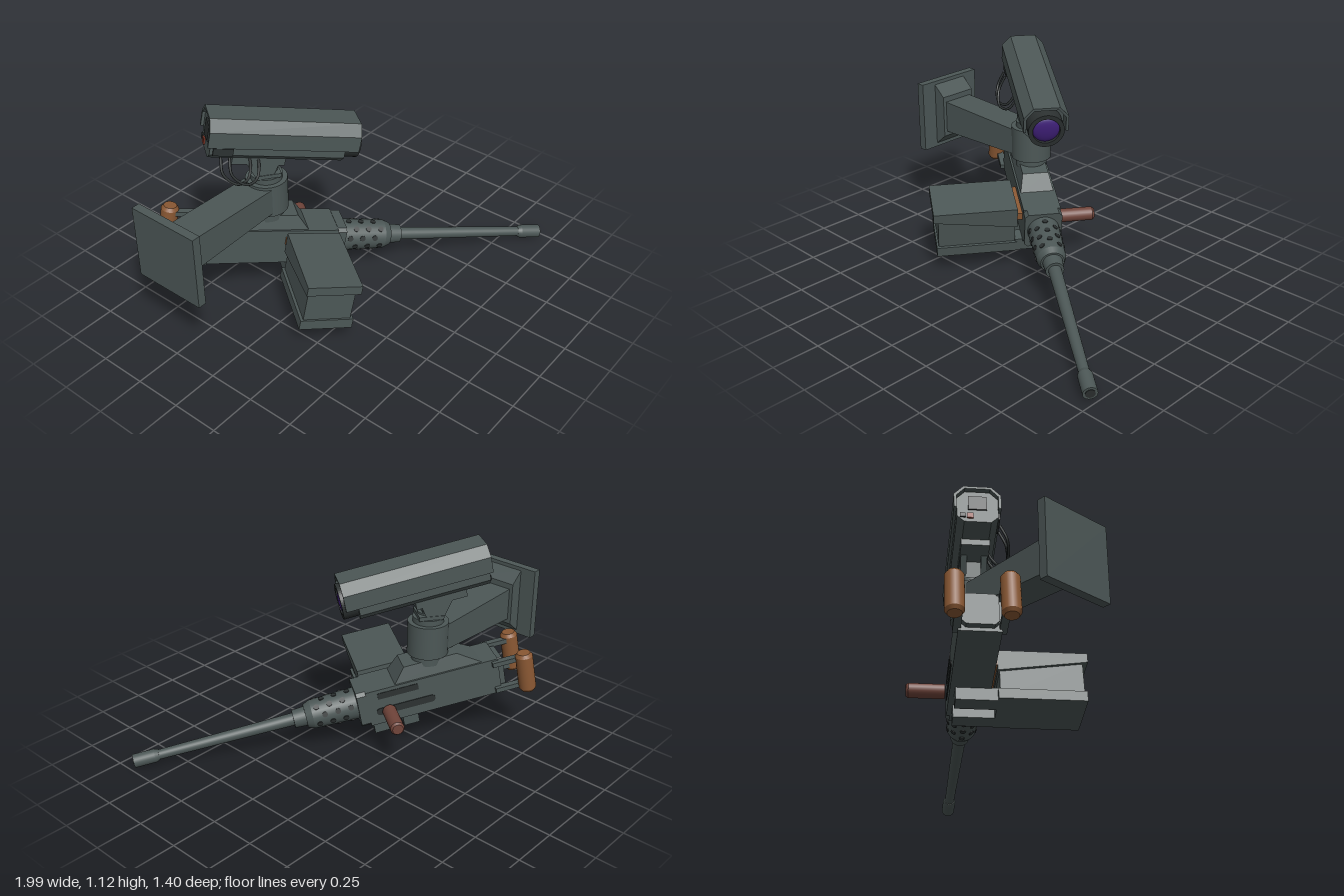
import * as THREE from 'three';

const mat = (name, color) => {
  const m = new THREE.MeshStandardMaterial({ color });
  m.name = name;
  return m;
};

export function createModel() {
  const metal = mat('grey green metal', 0x4c5756);
  const dark = mat('dark metal', 0x2c3131);
  const purple = mat('purple lens', 0x40207a);
  const wood = mat('brown grip', 0x8a5833);
  const rust = mat('red brown knob', 0x70443a);
  const red = mat('red socket', 0x8c3b2c);

  const add = (parent, name, geo, material, x = 0, y = 0, z = 0) => {
    const m = new THREE.Mesh(geo, material);
    m.name = name;
    m.position.set(x, y, z);
    parent.add(m);
    return m;
  };
  const group = (parent, name) => {
    const g = new THREE.Group();
    g.name = name;
    parent.add(g);
    return g;
  };
  // box given by its limits
  const box = (p, name, m, x0, x1, y0, y1, z0, z1) =>
    add(p, name, new THREE.BoxGeometry(x1 - x0, y1 - y0, z1 - z0), m, (x0 + x1) / 2, (y0 + y1) / 2, (z0 + z1) / 2);
  // cylinder along z from z0 (radius r0) to z1 (radius r1)
  const rod = (p, name, m, r0, r1, z0, z1, seg = 28) =>
    add(p, name, new THREE.CylinderGeometry(r1, r0, z1 - z0, seg).rotateX(Math.PI / 2), m, 0, 0, (z0 + z1) / 2);
  // outline in x, y extruded from z0 to z1
  const prism = (p, name, m, pts, z0, z1) =>
    add(p, name, new THREE.ExtrudeGeometry(new THREE.Shape(pts.map(q => new THREE.Vector2(...q))),
      { depth: z1 - z0, bevelEnabled: false }), m, 0, 0, z0);
  // box whose top is scaled and shifted
  const frustum = (w, h, d, kx, kz, shift = 0) => {
    const g = new THREE.BoxGeometry(w, h, d), a = g.attributes.position;
    for (let i = 0; i < a.count; i++) {
      if (a.getY(i) > 0) a.setXYZ(i, a.getX(i) * kx, a.getY(i), a.getZ(i) * kz + shift);
    }
    g.computeVertexNormals();
    return g;
  };
  const chamfered = (w, h, c) => [[-w + c, -h], [w - c, -h], [w, -h + c], [w, h - c],
    [w - c, h], [-w + c, h], [-w, h - c], [-w, -h + c]];

  const model = new THREE.Group();
  model.name = 'mountedGunAndCamera';
  const PX = -0.29, PZ = -0.25, HEADING = 0.942;

  // wall bracket
  const bracket = group(model, 'wallBracket');
  box(bracket, 'wallPlate', metal, -1, -0.955, 0.415, 0.815, -0.45, -0.05);
  add(bracket, 'bracketFoot', frustum(0.36, 0.07, 0.22, 0.66, 1).rotateZ(-Math.PI / 2), metal, -0.92, 0.615, PZ);
  add(bracket, 'arm', frustum(0.18, 0.585, 0.18, 0.78, 1).rotateZ(-Math.PI / 2), metal, -0.593, 0.612, PZ);

  // pivot column
  const column = group(model, 'pivotColumn');
  column.position.set(PX, 0, PZ);
  for (const [name, r, y0, y1] of [['lowerRing', 0.085, 0.47, 0.52], ['drum', 0.108, 0.52, 0.70],
    ['upperRing', 0.082, 0.70, 0.73], ['neck', 0.06, 0.73, 0.76]]) {
    add(column, name, new THREE.CylinderGeometry(r, r, y1 - y0, 32), metal, 0, (y0 + y1) / 2, 0);
  }

  // gun, local forward is +z
  const gun = group(model, 'gun');
  gun.position.set(PX, 0.32, PZ);
  gun.rotation.set(0.18, HEADING, 0, 'YXZ');
  box(gun, 'receiver', metal, -0.1, 0.1, -0.103, 0.1, -0.38, 0.34);
  prism(gun, 'receiverFront', metal, chamfered(0.1, 0.102, 0.018), 0.34, 0.39);
  prism(gun, 'backPlate', metal, chamfered(0.085, 0.085, 0.02), -0.41, -0.38);
  add(gun, 'topMount', frustum(0.18, 0.08, 0.48, 0.78, 0.6, 0.03), metal, 0, 0.138, -0.06);
  box(gun, 'ejectionPort', dark, 0.098, 0.103, 0.045, 0.08, 0.06, 0.28);
  const slot = new THREE.Shape();
  slot.absarc(0.12, 0, 0.02, -Math.PI / 2, Math.PI / 2, false);
  slot.absarc(-0.16, 0, 0.02, Math.PI / 2, Math.PI * 1.5, false);
  add(gun, 'handleSlot', new THREE.ExtrudeGeometry(slot, { depth: 0.005, bevelEnabled: false })
    .rotateY(Math.PI / 2), dark, 0.099, -0.03, 0.12);

  // charging handle
  const knob = add(gun, 'chargingHandle', new THREE.CylinderGeometry(0.037, 0.037, 0.18, 24), rust, 0.205, -0.03, 0.235);
  const knobEnd = add(gun, 'chargingHandleEnd', new THREE.CylinderGeometry(0.028, 0.037, 0.012, 24), rust, 0.301, -0.03, 0.235);
  knob.rotation.z = knobEnd.rotation.z = -Math.PI / 2;

  // barrel and perforated jacket
  rod(gun, 'barrelJacket', metal, 0.085, 0.077, 0.39, 0.63);
  rod(gun, 'jacketShoulder', metal, 0.077, 0.062, 0.63, 0.665);
  rod(gun, 'barrelCollar', metal, 0.052, 0.048, 0.665, 0.73);
  rod(gun, 'barrel', metal, 0.034, 0.026, 0.73, 1.46);
  rod(gun, 'muzzleStep', metal, 0.028, 0.036, 1.45, 1.47);
  rod(gun, 'muzzle', metal, 0.036, 0.036, 1.47, 1.583);
  rod(gun, 'bore', dark, 0.024, 0.024, 1.58, 1.586);
  for (let row = 0; row < 10; row++) {
    for (let i = 0; i < 3; i++) {
      const a = row * Math.PI / 5, z = 0.425 + i * 0.07 + (row % 2) * 0.035;
      const r = 0.085 - (z - 0.39) / 30;
      const hole = add(gun, 'jacketHole', new THREE.CylinderGeometry(0.015, 0.015, 0.006, 14), dark,
        Math.sin(a) * r, Math.cos(a) * r, z);
      hole.rotation.z = -a;
    }
  }

  // spade grips
  for (const s of [-1, 1]) {
    const grip = group(gun, s > 0 ? 'leftGrip' : 'rightGrip');
    grip.position.set(s * 0.125, 0, -0.515);
    add(grip, 'handle', new THREE.CylinderGeometry(0.046, 0.046, 0.19, 24), wood);
    for (const e of [-1, 1]) {
      add(grip, 'gripEnd', e > 0 ? new THREE.CylinderGeometry(0.034, 0.046, 0.018, 24)
        : new THREE.CylinderGeometry(0.046, 0.034, 0.018, 24), wood, 0, e * 0.104, 0);
      box(grip, 'gripBar', metal, -0.018 - s * 0.02, 0.018 - s * 0.02, e * 0.078 - 0.013, e * 0.078 + 0.013, 0.02, 0.17);
    }
  }

  // ammunition box, its supports and the belt
  const ammo = group(gun, 'ammunitionBox');
  box(ammo, 'boxBody', metal, -0.55, -0.14, -0.16, 0.06, 0.07, 0.315);
  box(ammo, 'boxBase', metal, -0.56, -0.13, -0.17, -0.115, 0.055, 0.33);
  prism(ammo, 'boxLid', metal, [[-0.575, 0.055], [-0.13, -0.01], [-0.13, 0.105], [-0.575, 0.105]], 0.055, 0.335);
  box(ammo, 'belt', wood, -0.14, -0.095, 0.02, 0.06, 0.06, 0.31);
  for (const z of [0.08, 0.24]) {
    box(ammo, 'boxSupport', metal, -0.14, 0.075, -0.17, -0.1, z, z + 0.085);
  }

  // camera, local forward is +z
  const cam = group(model, 'camera');
  cam.position.set(PX, 0.95, PZ);
  cam.rotation.set(0.2, HEADING, 0, 'YXZ');
  prism(cam, 'cameraBody', metal, [[-0.065, -0.1], [0.065, -0.1], [0.1, -0.065], [0.1, 0.05],
    [0.06, 0.095], [-0.06, 0.095], [-0.1, 0.05], [-0.1, -0.065]], -0.285, 0.4);
  prism(cam, 'cameraRoof', metal, [[0.115, -0.02], [0.115, 0.065], [0.068, 0.118], [-0.068, 0.118], [-0.115, 0.065],
    [-0.115, -0.02], [-0.101, -0.02], [-0.101, 0.058], [-0.062, 0.104], [0.062, 0.104], [0.101, 0.058], [0.101, -0.02]].reverse(), -0.3, 0.465);
  const ring = new THREE.Shape().absarc(0, 0, 0.093, 0, Math.PI * 2);
  ring.holes.push(new THREE.Path().absarc(0, 0, 0.07, 0, Math.PI * 2, true));
  add(cam, 'lensBezel', new THREE.ExtrudeGeometry(ring, { depth: 0.09, bevelEnabled: false, curveSegments: 24 }), dark, 0, -0.008, 0.39);
  const lens = new THREE.SphereGeometry(0.07, 28, 10, 0, Math.PI * 2, 0, Math.PI / 2).rotateX(Math.PI / 2).scale(1, 1, 0.3);
  add(cam, 'lens', lens, purple, 0, -0.008, 0.462);
  box(cam, 'rearScreen', dark, -0.045, 0.045, -0.025, 0.06, -0.292, -0.284);
  box(cam, 'rearSocketRed', red, 0.02, 0.052, -0.08, -0.05, -0.293, -0.284);
  box(cam, 'rearSocketDark', dark, 0.058, 0.085, -0.075, -0.05, -0.293, -0.284);
  box(cam, 'cableSockets', dark, -0.11, -0.095, -0.065, -0.025, -0.27, -0.17);
  box(cam, 'cameraPlate', metal, -0.07, 0.07, -0.135, -0.095, -0.16, 0.11);

  // tilt bracket under the camera
  const tilt = group(model, 'tiltBracket');
  tilt.position.set(PX, 0, PZ);
  tilt.rotation.y = HEADING;
  for (const s of [-1, 1]) {
    add(tilt, 'tiltEar', frustum(0.03, 0.1, 0.09, 1, 2), metal, s * 0.05, 0.79, -0.02);
  }
  box(tilt, 'tiltCore', metal, -0.035, 0.035, 0.74, 0.85, -0.06, 0.04);
  box(tilt, 'tiltBase', metal, -0.068, 0.068, 0.728, 0.75, -0.065, 0.065);

  // hanging cables
  for (const d of [0, 0.035]) {
    const path = new THREE.CatmullRomCurve3([[-0.55, 0.93, -0.3], [-0.57, 0.85, -0.27], [-0.52, 0.785, -0.225],
      [-0.45, 0.785, -0.22], [-0.41, 0.84, -0.24], [-0.4, 0.89, -0.26]]
      .map(([x, y, z]) => new THREE.Vector3(x + d, y - d * 0.3, z + d * 0.7)));
    add(model, 'cable', new THREE.TubeGeometry(path, 28, 0.007, 8), dark);
  }
  return model;
}
